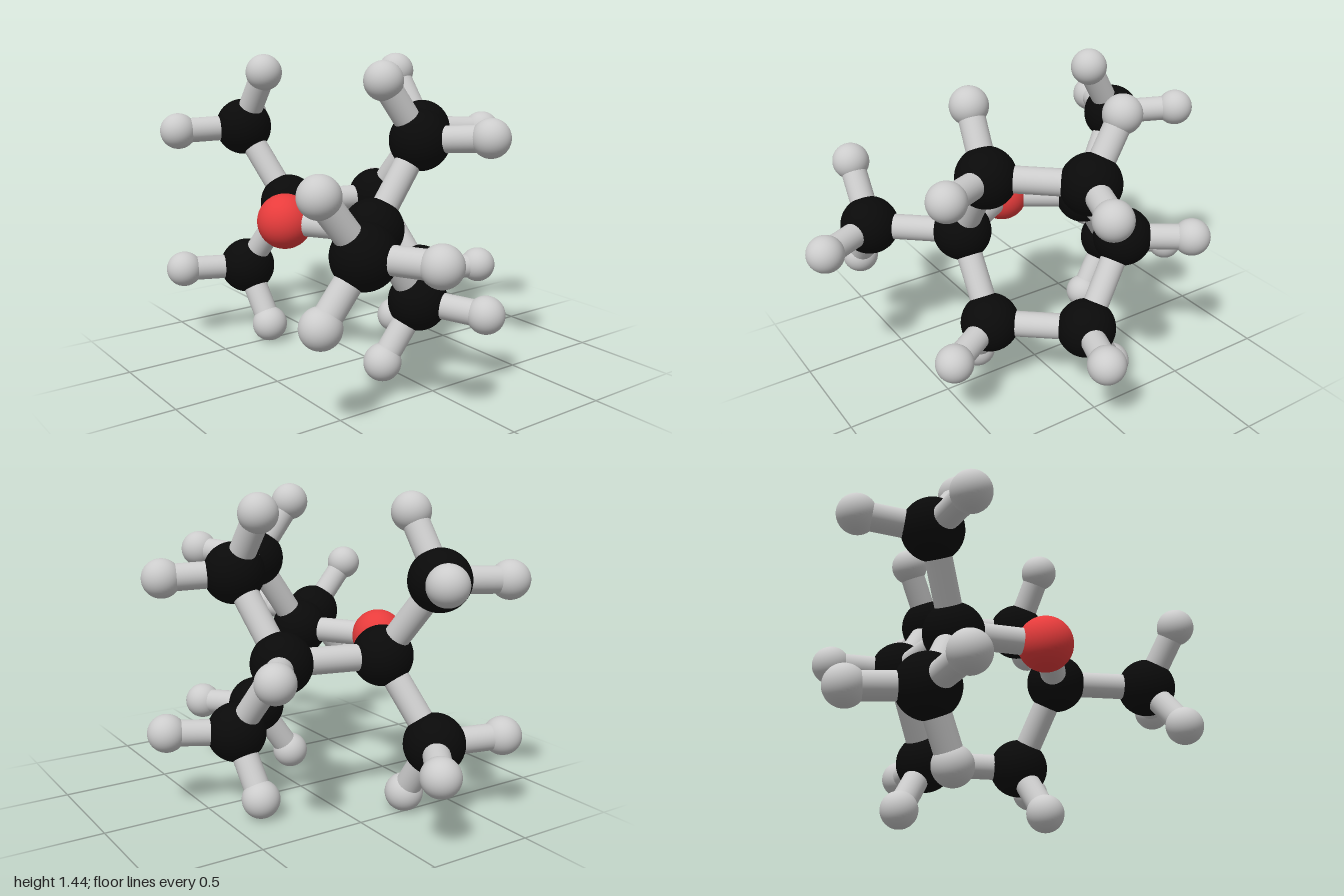
import * as THREE from 'three';

const MID = 0.72; // height of the mirror plane

const ELEMENTS = {
  carbon: { radius: 0.137, color: 0x0a0a0a },
  oxygen: { radius: 0.125, color: 0xe83c3c },
  hydrogen: { radius: 0.087, color: 0xcccccc },
};

// name: [element, x, height above mirror plane, z, bonded to...]
// Atoms off the plane are mirrored below it.
const ATOMS = {
  bridgeOxygen: ['oxygen', -0.07, 0, 0.4],
  ringCarbonLeft: ['carbon', 0.29, 0, 0.175, 'bridgeOxygen'],
  ringCarbonRight: ['carbon', -0.41, 0, 0.17, 'bridgeOxygen'],
  ringCarbonBack: ['carbon', -0.3, 0, -0.285, 'ringCarbonRight'],
  backHydrogen: ['hydrogen', -0.56, 0, -0.47, 'ringCarbonBack'],
  // side bridges joining the back and left ring carbons
  bridgeCarbonBack: ['carbon', -0.04, 0.365, -0.37, 'ringCarbonBack'],
  bridgeCarbonFront: ['carbon', 0.3, 0.37, -0.075, 'bridgeCarbonBack', 'ringCarbonLeft'],
  bridgeHydrogenBack: ['hydrogen', 0.07, 0.35, -0.665, 'bridgeCarbonBack'],
  bridgeHydrogenBackOuter: ['hydrogen', -0.215, 0.635, -0.345, 'bridgeCarbonBack'],
  bridgeHydrogenSide: ['hydrogen', 0.58, 0.395, -0.235, 'bridgeCarbonFront'],
  bridgeHydrogenFrontOuter: ['hydrogen', 0.27, 0.635, 0.105, 'bridgeCarbonFront'],
  // single group on the left
  leftArmCarbon: ['carbon', 0.625, 0, 0.47, 'ringCarbonLeft'],
  leftArmHydrogenTip: ['hydrogen', 0.91, 0, 0.32, 'leftArmCarbon'],
  leftArmHydrogen: ['hydrogen', 0.61, 0.255, 0.665, 'leftArmCarbon'],
  // paired groups on the right
  rightArmCarbon: ['carbon', -0.655, 0.36, 0.275, 'ringCarbonRight'],
  rightArmHydrogenSide: ['hydrogen', -0.915, 0.39, 0.09, 'rightArmCarbon'],
  rightArmHydrogenFront: ['hydrogen', -0.75, 0.35, 0.585, 'rightArmCarbon'],
  rightArmHydrogenOuter: ['hydrogen', -0.485, 0.635, 0.25, 'rightArmCarbon'],
};

export function createModel() {
  const model = new THREE.Group();
  model.name = 'molecule';

  const balls = {};
  for (const [element, { radius, color }] of Object.entries(ELEMENTS)) {
    balls[element] = {
      geometry: new THREE.SphereGeometry(radius, 40, 28),
      material: new THREE.MeshStandardMaterial({ color }),
    };
  }
  const bondGeometry = new THREE.CylinderGeometry(0.06, 0.06, 1, 28, 1, true);
  const bondMaterial = new THREE.MeshStandardMaterial({ color: 0xcccccc });
  const up = new THREE.Vector3(0, 1, 0);

  const position = (name, side) => {
    const [, x, h, z] = ATOMS[name];
    return new THREE.Vector3(x, MID + side * h, z);
  };

  // Rod stretched between two atom centres
  const addBond = (a, b, name) => {
    const bond = new THREE.Mesh(bondGeometry, bondMaterial);
    const along = b.clone().sub(a);
    bond.name = name;
    bond.position.copy(a).add(b).multiplyScalar(0.5);
    bond.scale.y = along.length();
    bond.quaternion.setFromUnitVectors(up, along.normalize());
    model.add(bond);
  };

  for (const [name, [element, , h, , ...bonds]] of Object.entries(ATOMS)) {
    for (const side of h === 0 ? [1] : [1, -1]) {
      const suffix = h === 0 ? '' : side > 0 ? 'Upper' : 'Lower';
      const atom = new THREE.Mesh(balls[element].geometry, balls[element].material);
      atom.name = name + suffix;
      atom.position.copy(position(name, side));
      model.add(atom);
      for (const other of bonds) {
        addBond(atom.position, position(other, side), `${name}${suffix}Bond`);
      }
    }
  }
  return model;
}
